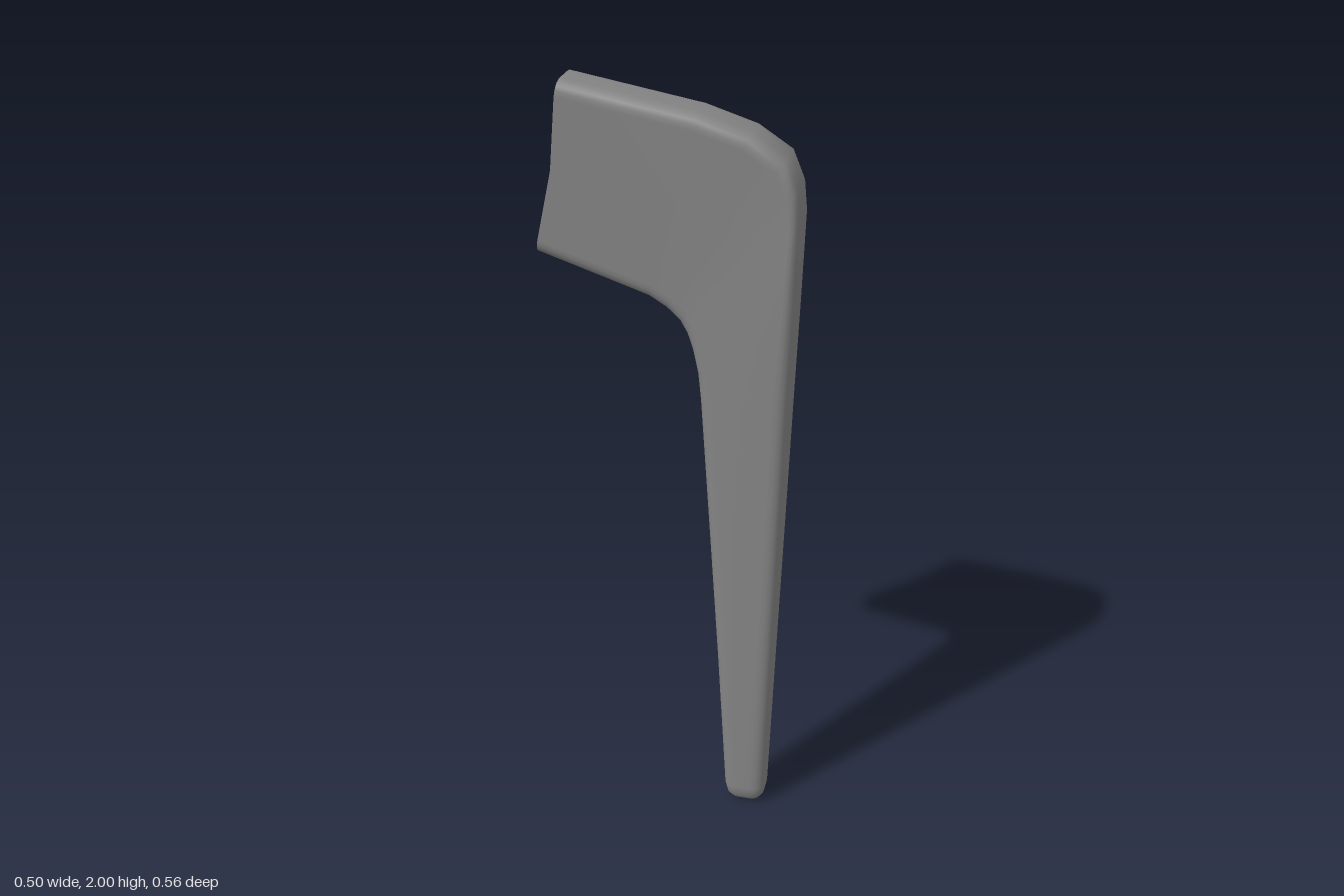
import * as THREE from 'three';

// Rounded four-sided cross-section: outer edge (ou, oy) and inner edge (iu, iy),
// with half thicknesses ho / hi, corners cut by radius r. The middles of the
// two broad sides are moved by dent.
function section([ou, oy, ho, iu, iy, hi], r, dent = 0) {
  const corners = [
    new THREE.Vector3(ou, oy, ho), new THREE.Vector3(iu, iy, hi),
    new THREE.Vector3(iu, iy, -hi), new THREE.Vector3(ou, oy, -ho),
  ];
  const ring = [];
  corners.forEach((c, i) => {
    const next = corners[(i + 1) % 4];
    const toward = (o) => {
      const d = o.clone().sub(c);
      return c.clone().addScaledVector(d, Math.min(r / d.length(), 0.45));
    };
    const curve = new THREE.QuadraticBezierCurve3(
      toward(corners[(i + 3) % 4]), c, toward(next));
    ring.push(...curve.getPoints(5));
    if (i % 2 === 0) {
      const middle = c.clone().lerp(next, 0.5);
      middle.x += dent;
      ring.push(middle);
    }
  });
  return ring;
}

function buildGeometry(points, index) {
  const geo = new THREE.BufferGeometry().setFromPoints(points);
  geo.setIndex(index);
  geo.computeVertexNormals();
  return geo;
}

// Smooth skin through the rings
function loft(rings) {
  const n = rings[0].length, index = [];
  for (let j = 0; j < rings.length - 1; j++) {
    for (let k = 0; k < n; k++) {
      const a = j * n + k, b = j * n + (k + 1) % n;
      index.push(a, a + n, b, b, a + n, b + n);
    }
  }
  return buildGeometry(rings.flat(), index);
}

// Face closing a ring, fanned from midway between the broad sides
function cap(ring, flip) {
  const index = [], n = ring.length;
  const mid = ring[6].clone().lerp(ring[6 + n / 2], 0.5);
  for (let k = 0; k < n; k++) {
    const m = (k + 1) % n;
    index.push(n, flip ? m : k, flip ? k : m);
  }
  return buildGeometry([...ring, mid], index);
}

export function createModel() {
  const material = new THREE.MeshStandardMaterial({ color: 0x858585 });
  const leg = new THREE.Group();
  leg.name = 'furnitureLeg';

  // Rounded foot: sections shrink toward the ground
  const foot = [[0, 0.031], [0.007, 0.017], [0.022, 0.006], [0.05, 0]].map(([y, s]) =>
    section([0.266 - s, y, 0.044 - s, 0.154 + s, y, 0.044 - s], 0.038 - s * 0.7));

  // Tapered shaft, bend and short arm
  const body = [
    [0.28, 0.45, 0.049, 0.129, 0.45, 0.046],
    [0.294, 0.85, 0.055, 0.102, 0.85, 0.048],
    [0.306, 1.2, 0.06, 0.078, 1.2, 0.05],
    [0.316, 1.48, 0.064, 0.071, 1.27, 0.05],
    [0.323, 1.7, 0.066, 0.057, 1.335, 0.049],
    [0.316, 1.775, 0.066, 0.043, 1.375, 0.048],
    [0.286, 1.848, 0.067, 0.025, 1.405, 0.046],
    [0.2, 1.903, 0.068, -0.01, 1.437, 0.045],
    [0.07, 1.943, 0.069, -0.055, 1.463, 0.044],
    [-0.1, 1.972, 0.069, -0.197, 1.508, 0.043],
  ].map((s) => section(s, 0.04));

  // Slightly hollow end of the arm
  const end = section([-0.267, 2.0, 0.069, -0.338, 1.553, 0.042], 0.038, 0.012);

  const parts = {
    legBody: loft([...foot, ...body, end]),
    footCap: cap(foot[0], false),
    mountingFace: cap(end, true),
  };
  for (const [name, geo] of Object.entries(parts)) {
    const mesh = new THREE.Mesh(geo, material);
    mesh.name = name;
    leg.add(mesh);
  }

  // The leg lies in a diagonal vertical plane
  leg.rotation.y = THREE.MathUtils.degToRad(-49.5);
  const model = new THREE.Group();
  model.name = 'model';
  model.add(leg);
  return model;
}
